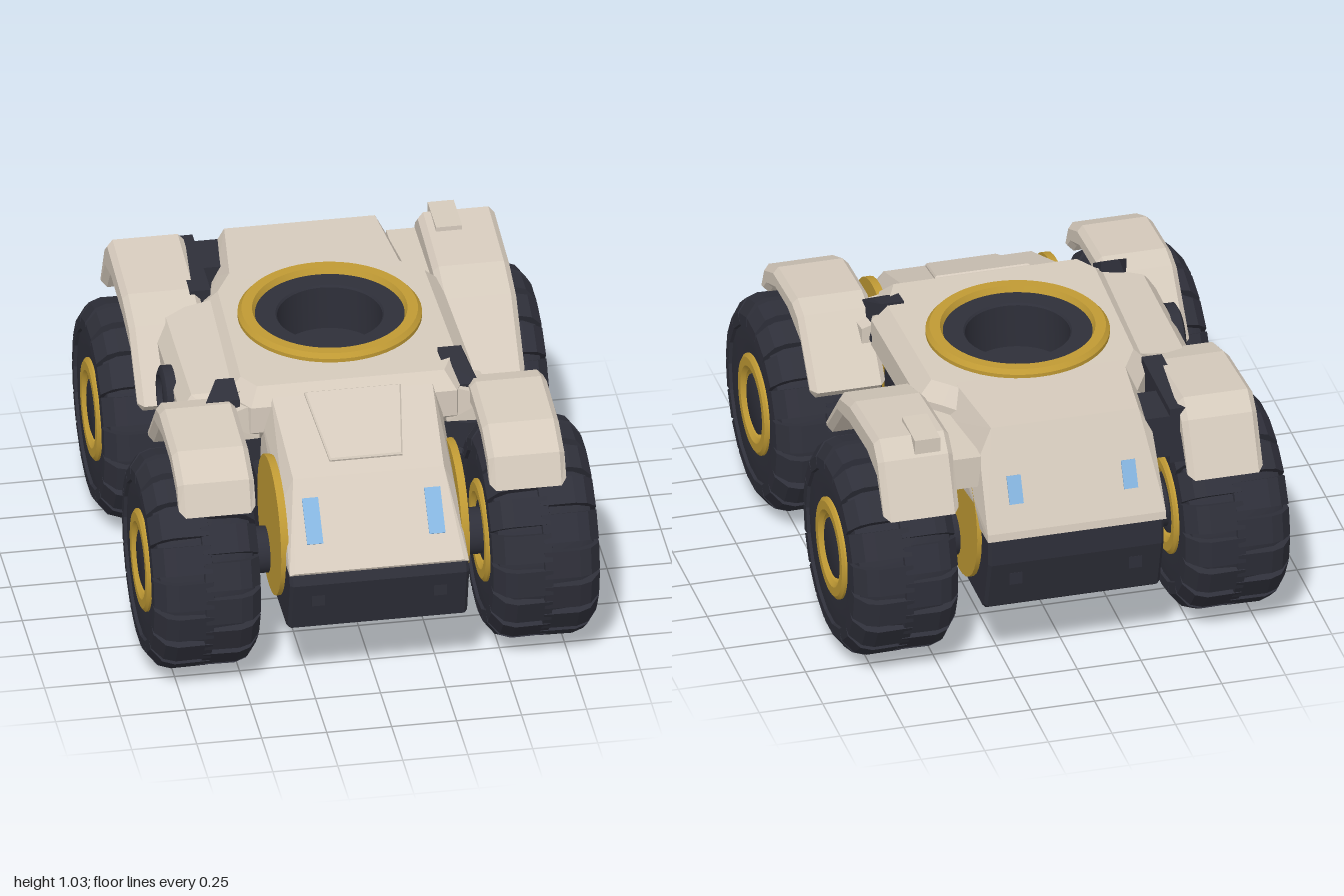
import * as THREE from 'three';
import { toCreasedNormals, mergeGeometries } from 'three/addons/utils/BufferGeometryUtils.js';
import { ConvexGeometry } from 'three/addons/geometries/ConvexGeometry.js';

const material = (name, color) => {
  const m = new THREE.MeshStandardMaterial({ color });
  m.name = name;
  return m;
};

export function createModel() {
  const model = new THREE.Group();
  const armour = material('sand armour', 0xd5cabc);
  const dark = material('charcoal', 0x2e2f39);
  const gold = material('gold trim', 0xc09a34);
  const blue = material('blue light', 0x86b5e0);

  const add = (name, geometry, mat, parent = model) => {
    const mesh = new THREE.Mesh(geometry, mat);
    mesh.name = name;
    parent.add(mesh);
    return mesh;
  };
  // Box given by its extents
  const box = (name, mat, x0, x1, y0, y1, z0, z1) => {
    const mesh = add(name, new THREE.BoxGeometry(x1 - x0, y1 - y0, z1 - z0), mat);
    mesh.position.set((x0 + x1) / 2, (y0 + y1) / 2, (z0 + z1) / 2);
    return mesh;
  };
  // Faceted solid around corner points [x, y, z]
  const solid = (name, mat, pts) =>
    add(name, new ConvexGeometry(pts.map(p => new THREE.Vector3(...p))), mat);
  const bothSides = rows => rows.flatMap(([x, y, z]) => [[x, y, z], [-x, y, z]]);
  // Side profile of [z, y] points, extruded from x0 to x1 with a chamfer
  const profile = (pts, x0, x1, chamfer) => {
    const shape = new THREE.Shape(pts.map(([z, y]) => new THREE.Vector2(-z, y)));
    const g = new THREE.ExtrudeGeometry(shape, {
      depth: x1 - x0 - 2 * chamfer, bevelThickness: chamfer, bevelSize: chamfer,
      bevelOffset: -chamfer, bevelSegments: 1,
    });
    return g.rotateY(Math.PI / 2).translate(x0 + chamfer, 0, 0);
  };
  const lathe = (pts, segments = 48) => toCreasedNormals(
    new THREE.LatheGeometry(pts.map(p => new THREE.Vector2(...p)), segments), 0.5);

  // Chassis
  add('lowerHull', profile([[0.9, 0.27], [0.94, 0.29], [0.99, 0.5], [0.97, 0.55], [-0.4, 0.55],
    [-0.45, 0.64], [-0.99, 0.64], [-0.99, 0.5], [-0.93, 0.29], [-0.9, 0.27]], -0.345, 0.345, 0.012), dark);
  box('midHull', dark, -0.45, 0.45, 0.27, 0.8, -0.2, 0.13);
  for (const s of [-1, 1]) {
    const x = s * 0.405;
    box('hullPillar', dark, x - 0.045, x + 0.045, 0.27, 0.88, -0.2, 0.13);
    for (const z of [0.99, -0.99]) {
      const lug = box('bumperSocket', dark, s * 0.235 - 0.025, s * 0.235 + 0.025, 0.4, 0.45, z - 0.02, z);
      lug.position.z = Math.sign(z) * 0.967;
    }
  }

  // Sloping nose with a raised hatch
  solid('nose', armour, bothSides([[0.31, 0.975, 0.34], [0.29, 0.82, 0.73], [0.325, 0.55, 0.98],
    [0.345, 0.54, 0.975], [0.345, 0.54, 0.3], [0.345, 0.86, 0.34], [0.33, 0.74, 0.74]]));
  const hatch = new THREE.Shape([[-0.18, 0.16], [-0.135, -0.16], [0.135, -0.16], [0.18, 0.16]]
    .map(p => new THREE.Vector2(...p)));
  const hatchPlate = add('noseHatch', new THREE.ExtrudeGeometry(hatch,
    { depth: 0.008, bevelThickness: 0.006, bevelSize: 0.006, bevelSegments: 1 }), armour);
  hatchPlate.position.set(0, 0.91, 0.52);
  hatchPlate.rotation.x = -Math.PI / 2 + Math.atan2(0.155, 0.39);

  // Tail
  solid('tail', armour, bothSides([[0.33, 1.0, -0.45], [0.29, 1.005, -0.82], [0.35, 0.64, -0.995],
    [0.35, 0.61, -1.0], [0.36, 0.61, -0.4], [0.39, 0.88, -0.5], [0.34, 0.9, -0.84]]));

  // Lights set on the nose and tail slopes
  for (const s of [-1, 1]) {
    const front = add('frontLight', new THREE.BoxGeometry(0.062, 0.009, 0.18), blue);
    front.position.set(s * 0.235, 0.697, 0.845);
    front.rotation.x = 0.834;
    const rear = add('rearLight', new THREE.BoxGeometry(0.055, 0.009, 0.11), blue);
    rear.position.set(s * 0.225, 0.785, -0.927);
    rear.rotation.x = -1.13;
  }

  // Deck with a round opening
  const outline = [[-0.29, -0.57], [0.28, -0.54], [0.35, -0.46], [0.41, -0.4], [0.425, 0.18],
    [0.36, 0.33], [-0.36, 0.33], [-0.41, 0.25], [-0.39, -0.38]];
  const deckShape = new THREE.Shape(outline.map(([x, z]) => new THREE.Vector2(x, -z)));
  deckShape.holes.push(new THREE.Path().absarc(0, 0.14, 0.28, 0, Math.PI * 2, true));
  const deck = new THREE.ExtrudeGeometry(deckShape,
    { depth: 0.11, bevelThickness: 0.06, bevelSize: 0.06, bevelSegments: 1, curveSegments: 32 });
  add('deck', deck.rotateX(-Math.PI / 2).translate(0, 0.83, 0), armour);

  // Turret ring and well
  const ring = add('turretRing', lathe([[0.35, 0.97], [0.35, 1.015], [0.335, 1.032], [0.295, 1.032], [0.283, 1.005]], 64), gold);
  const well = add('turretWell', lathe([[0.29, 1.008], [0.206, 1.008], [0.2, 1.0], [0.2, 0.82], [0, 0.82]], 64), dark);
  ring.position.z = well.position.z = -0.14;

  // Fenders, one profile for each axle
  const frontArch = [[0.85, 0.76], [0.8, 0.88], [0.66, 0.945], [0.38, 0.965], [0.29, 0.94], [0.09, 0.71],
    [0.13, 0.67], [0.27, 0.83], [0.45, 0.87], [0.62, 0.86], [0.74, 0.81], [0.79, 0.76]];
  const rearArch = [[-0.08, 0.7], [-0.29, 0.93], [-0.45, 0.98], [-0.8, 1.012], [-0.87, 0.95], [-0.97, 0.74],
    [-0.92, 0.73], [-0.83, 0.86], [-0.7, 0.89], [-0.45, 0.87], [-0.28, 0.83], [-0.12, 0.66]];
  for (const s of [-1, 1]) {
    const [a, b] = s > 0 ? [0.45, 0.745] : [-0.745, -0.45];
    add('frontFender', profile(frontArch, a, b, 0.022), armour);
    add('rearFender', profile(rearArch, a, b, 0.022), armour);
    // Brackets joining deck and fenders
    solid('frontBracket', armour, [[0.36, 0.95, 0.2], [0.36, 0.95, 0.37], [0.54, 0.9, 0.39], [0.52, 0.9, 0.2],
      [0.36, 0.8, 0.2], [0.36, 0.8, 0.38], [0.54, 0.8, 0.39], [0.52, 0.8, 0.2]].map(([x, y, z]) => [s * x, y, z]));
    // Gold drive plates behind the wheels
    for (const z of [0.62, -0.62]) {
      const plate = add('drivePlate', new THREE.CylinderGeometry(0.27, 0.27, 0.03, 32), gold);
      plate.rotation.z = Math.PI / 2;
      plate.position.set(s * 0.348, 0.56, z);
    }
  }
  box('fenderCap', armour, 0.5, 0.6, 0.95, 1.018, -0.86, -0.67);
  box('rearShoulder', armour, 0.34, 0.47, 0.78, 0.91, -0.86, -0.42);

  // Side pod with a round port on the right
  solid('sidePod', armour, [[-0.42, 0.97, -0.37], [-0.42, 0.97, 0.3], [-0.6, 0.94, -0.36], [-0.6, 0.94, 0.25],
    [-0.645, 0.88, -0.36], [-0.645, 0.88, 0.27], [-0.64, 0.7, -0.22], [-0.64, 0.7, 0.16],
    [-0.54, 0.9, 0.34], [-0.42, 0.7, -0.3], [-0.42, 0.7, 0.25]]);
  const port = add('sidePort', lathe([[0.12, 0], [0.12, 0.04], [0.1, 0.05], [0.085, 0.05], [0.075, 0.03], [0, 0.03]], 32), dark);
  port.rotation.z = Math.PI / 2;
  port.position.set(-0.63, 0.8, 0.02);

  // Dark joints and machinery
  solid('leftJoint', dark, [[0.36, 1.01, 0.18], [0.45, 1.01, 0.18], [0.36, 1.0, 0.26], [0.46, 0.99, 0.26],
    [0.34, 0.94, 0.35], [0.49, 0.94, 0.35], [0.34, 0.85, 0.18], [0.49, 0.85, 0.18], [0.34, 0.85, 0.35], [0.49, 0.85, 0.35]]);
  solid('rightJoint', dark, [[-0.44, 1.01, 0.27], [-0.51, 1.01, 0.27], [-0.43, 0.96, 0.35], [-0.56, 0.96, 0.35],
    [-0.43, 0.85, 0.25], [-0.56, 0.85, 0.25], [-0.43, 0.85, 0.36], [-0.56, 0.85, 0.36]]);
  box('rearMachinery', dark, -0.49, -0.41, 0.75, 0.985, -0.83, -0.42);
  box('rearMachineryArm', dark, -0.42, -0.3, 0.78, 0.955, -0.83, -0.63);

  // Wheel: tyre along its axle, lugs wrapped over both shoulders
  const tyre = lathe([[0.18, -0.185], [0.3, -0.195], [0.355, -0.18], [0.385, -0.13], [0.395, 0],
    [0.385, 0.13], [0.355, 0.18], [0.3, 0.195], [0.18, 0.185]]);
  const lugShape = new THREE.Shape([[-0.02, 0.38], [-0.015, 0.408], [0.12, 0.41], [0.165, 0.395], [0.205, 0.345],
    [0.207, 0.3], [0.185, 0.295], [0.17, 0.355], [0.12, 0.38]].map(([a, r]) => new THREE.Vector2(r, a)));
  const lugs = [];
  const count = 18;
  for (let i = 0; i < count; i++) for (const s of [0, 1]) {
    const lug = new THREE.ExtrudeGeometry(lugShape, { depth: 0.108, bevelEnabled: false }).translate(0, 0, -0.054);
    if (s) lug.rotateX(Math.PI);
    lugs.push(lug.rotateY((i + s * 0.5) * Math.PI * 2 / count));
  }
  const lugRing = mergeGeometries(lugs);
  const rim = lathe([[0.195, 0.175], [0.195, 0.195], [0.182, 0.205], [0.148, 0.205], [0.132, 0.19], [0.132, 0.16]]);
  const hub = lathe([[0.135, 0.165], [0.12, 0.17], [0.115, 0.19], [0.1, 0.195], [0, 0.195]], 32);
  for (const sx of [-1, 1]) for (const z of [0.56, -0.56]) {
    const wheel = new THREE.Group();
    wheel.name = z > 0 ? 'frontWheel' : 'rearWheel';
    add('tyre', tyre, dark, wheel);
    add('tread', lugRing, dark, wheel);
    for (const turn of [0, Math.PI]) {
      add('rim', rim, gold, wheel).rotation.x = turn;
      add('hub', hub, dark, wheel).rotation.x = turn;
    }
    wheel.rotation.z = -sx * Math.PI / 2;
    wheel.scale.z = 1.05;
    wheel.position.set(sx * 0.652, 0.417, z);
    model.add(wheel);
    const axle = add('axle', new THREE.CylinderGeometry(0.09, 0.09, 0.3, 20), dark);
    axle.rotation.z = Math.PI / 2;
    axle.position.set(sx * 0.4, 0.417, z);
  }

  // Lathe profiles drawn from either direction stay visible
  for (const m of [dark, gold]) m.side = THREE.DoubleSide;
  return model;
}
